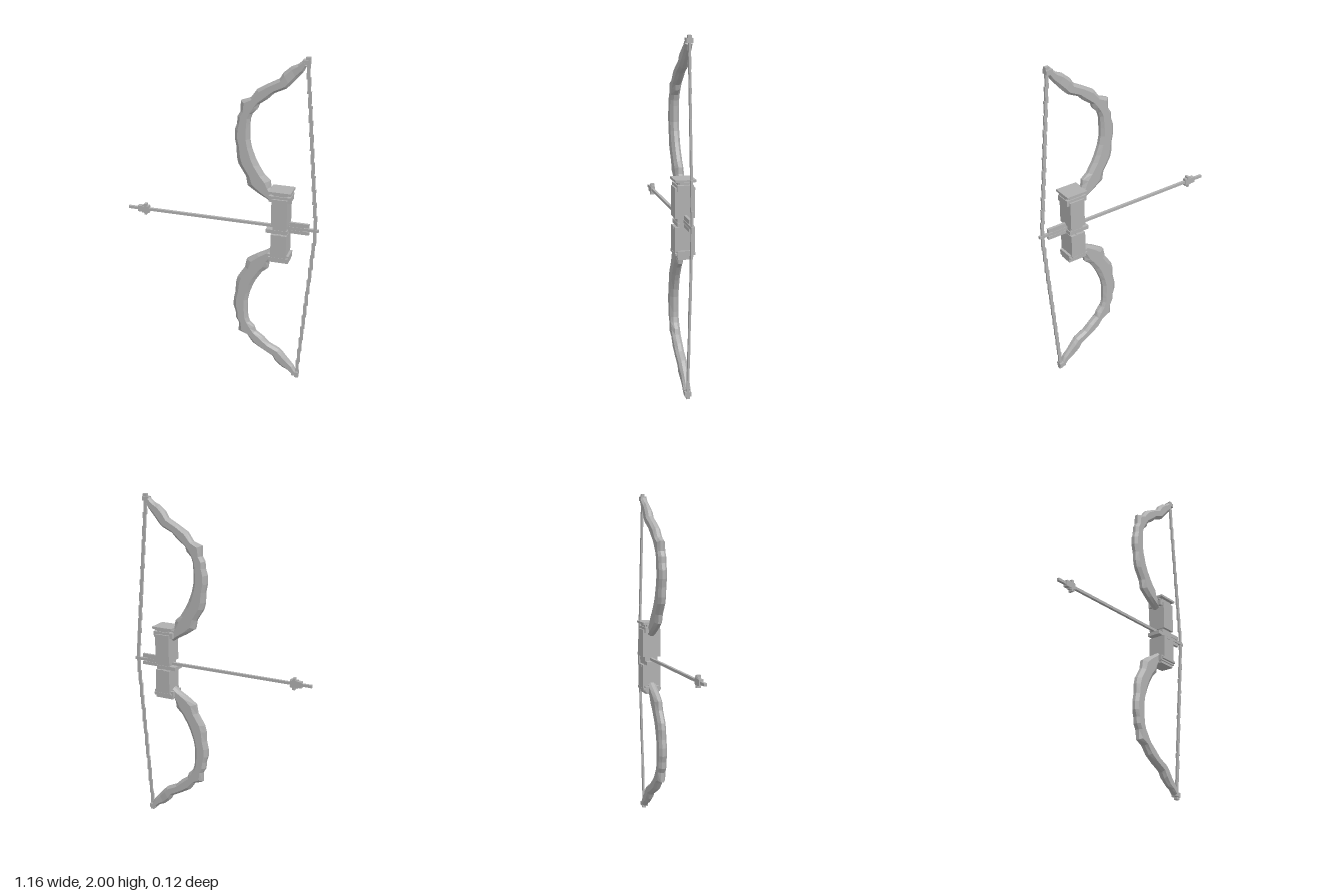
import * as THREE from 'three';

export function createModel() {
  const root = new THREE.Group();
  const grey = new THREE.MeshStandardMaterial({ color: 0xb0b0b0, flatShading: true });
  grey.name = 'plain grey';

  // Box given by its x, y ranges and half depth in z
  const box = (parent, name, x0, x1, y0, y1, hz) => {
    const m = new THREE.Mesh(new THREE.BoxGeometry(x1 - x0, y1 - y0, hz * 2), grey);
    m.position.set((x0 + x1) / 2, (y0 + y1) / 2, 0);
    m.name = name;
    parent.add(m);
  };

  // Limb stations from grip to tip: outer x, y, then inner x, y (y measured from the middle)
  const stations = [
    [0.30, 0.145, 0.32, 0.20], [0.27, 0.165, 0.30, 0.215], [0.215, 0.195, 0.29, 0.24],
    [0.155, 0.235, 0.285, 0.275], [0.145, 0.29, 0.25, 0.305], [0.10, 0.36, 0.215, 0.36],
    [0.09, 0.40, 0.195, 0.40], [0.088, 0.46, 0.172, 0.46], [0.077, 0.51, 0.162, 0.51],
    [0.077, 0.56, 0.162, 0.56], [0.09, 0.60, 0.162, 0.60], [0.092, 0.64, 0.165, 0.63],
    [0.11, 0.67, 0.175, 0.66], [0.11, 0.73, 0.205, 0.69], [0.165, 0.75, 0.215, 0.72],
    [0.20, 0.80, 0.265, 0.755], [0.26, 0.835, 0.30, 0.79], [0.325, 0.87, 0.365, 0.82],
    [0.345, 0.905, 0.385, 0.84], [0.385, 0.94, 0.42, 0.88], [0.42, 0.955, 0.455, 0.92],
    [0.45, 0.98, 0.47, 0.95],
  ];
  // Bevelled section: fraction across the limb, depth in z
  const section = [
    [0, 0.010], [0.22, 0.025], [0.78, 0.025], [1, 0.010],
    [1, -0.010], [0.78, -0.025], [0.22, -0.025], [0, -0.010],
  ];

  const limbGeometry = (s) => {
    const pos = [], idx = [], n = section.length, last = stations.length - 1;
    stations.forEach(([ox, oy, ix, iy], k) => {
      const w = k > 18 ? 0.8 : 1;
      for (const [t, z] of section) pos.push(ox + (ix - ox) * t, 1 + s * (oy + (iy - oy) * t), z * w);
    });
    const tri = (a, b, c) => idx.push(...(s > 0 ? [a, b, c] : [a, c, b]));
    for (let k = 0; k < last; k++) {
      for (let j = 0; j < n; j++) {
        const a = k * n + j, b = k * n + (j + 1) % n;
        tri(a, b, b + n);
        tri(a, b + n, a + n);
      }
    }
    for (let j = 1; j < n - 1; j++) {
      tri(0, j + 1, j);
      tri(last * n, last * n + j, last * n + j + 1);
    }
    const g = new THREE.BufferGeometry();
    g.setAttribute('position', new THREE.Float32BufferAttribute(pos, 3));
    g.setIndex(idx);
    g.computeVertexNormals();
    return g;
  };

  for (const s of [1, -1]) {
    const half = new THREE.Group();
    half.name = s > 0 ? 'upperHalf' : 'lowerHalf';
    root.add(half);
    const band = (name, x0, x1, a, b, hz) =>
      box(half, name, x0, x1, Math.min(1 + s * a, 1 + s * b), Math.max(1 + s * a, 1 + s * b), hz);

    const limb = new THREE.Mesh(limbGeometry(s), grey);
    limb.name = 'limb';
    half.add(limb);

    // Limb tip
    band('tipBlock', 0.45, 0.49, 0.96, 0.985, 0.018);
    band('tipCap', 0.465, 0.49, 0.985, 1.0, 0.01);

    // Bowstring made of overlapping stepped pieces
    const steps = 12;
    for (let i = 0; i < steps; i++) {
      const x = 0.557 - 0.08 * (i + 0.5) / steps;
      band('stringStep', x - 0.009, x + 0.009, 0.96 * i / steps, 0.96 * (i + 1) / steps + 0.012, 0.006);
    }
  }

  // Grip
  const grip = new THREE.Group();
  grip.name = 'grip';
  root.add(grip);
  box(grip, 'gripCore', 0.315, 0.395, 0.80, 1.215, 0.04);
  box(grip, 'upperGrip', 0.308, 0.40, 1.015, 1.185, 0.056);
  box(grip, 'lowerGrip', 0.308, 0.40, 0.82, 0.965, 0.056);
  box(grip, 'upperCollar', 0.288, 0.415, 1.165, 1.20, 0.046);
  box(grip, 'upperRim', 0.29, 0.415, 1.205, 1.215, 0.035);
  box(grip, 'upperPlate', 0.288, 0.418, 1.217, 1.23, 0.058);
  box(grip, 'lowerCollar', 0.288, 0.415, 0.80, 0.835, 0.046);
  box(grip, 'lowerBand', 0.295, 0.412, 0.81, 0.823, 0.057);
  box(grip, 'lowerPlate', 0.295, 0.41, 0.785, 0.80, 0.04);
  box(grip, 'arrowRest', 0.275, 0.40, 0.968, 0.99, 0.042);
  box(grip, 'restPeg', 0.34, 0.365, 0.95, 0.968, 0.058);

  // Arrow
  const arrow = new THREE.Group();
  arrow.name = 'arrow';
  root.add(arrow);
  box(arrow, 'shaft', -0.585, 0.575, 0.992, 1.008, 0.008);
  box(arrow, 'headBlock', -0.525, -0.455, 0.982, 1.018, 0.013);
  box(arrow, 'headBarb', -0.485, -0.47, 0.965, 1.035, 0.013);
  box(arrow, 'headCollar', -0.50, -0.455, 0.976, 1.024, 0.009);
  box(arrow, 'upperFletching', 0.405, 0.52, 1.012, 1.035, 0.008);
  box(arrow, 'lowerFletching', 0.405, 0.52, 0.968, 0.988, 0.008);
  box(arrow, 'fletchingWeb', 0.37, 0.49, 0.98, 1.02, 0.006);

  return root;
}
